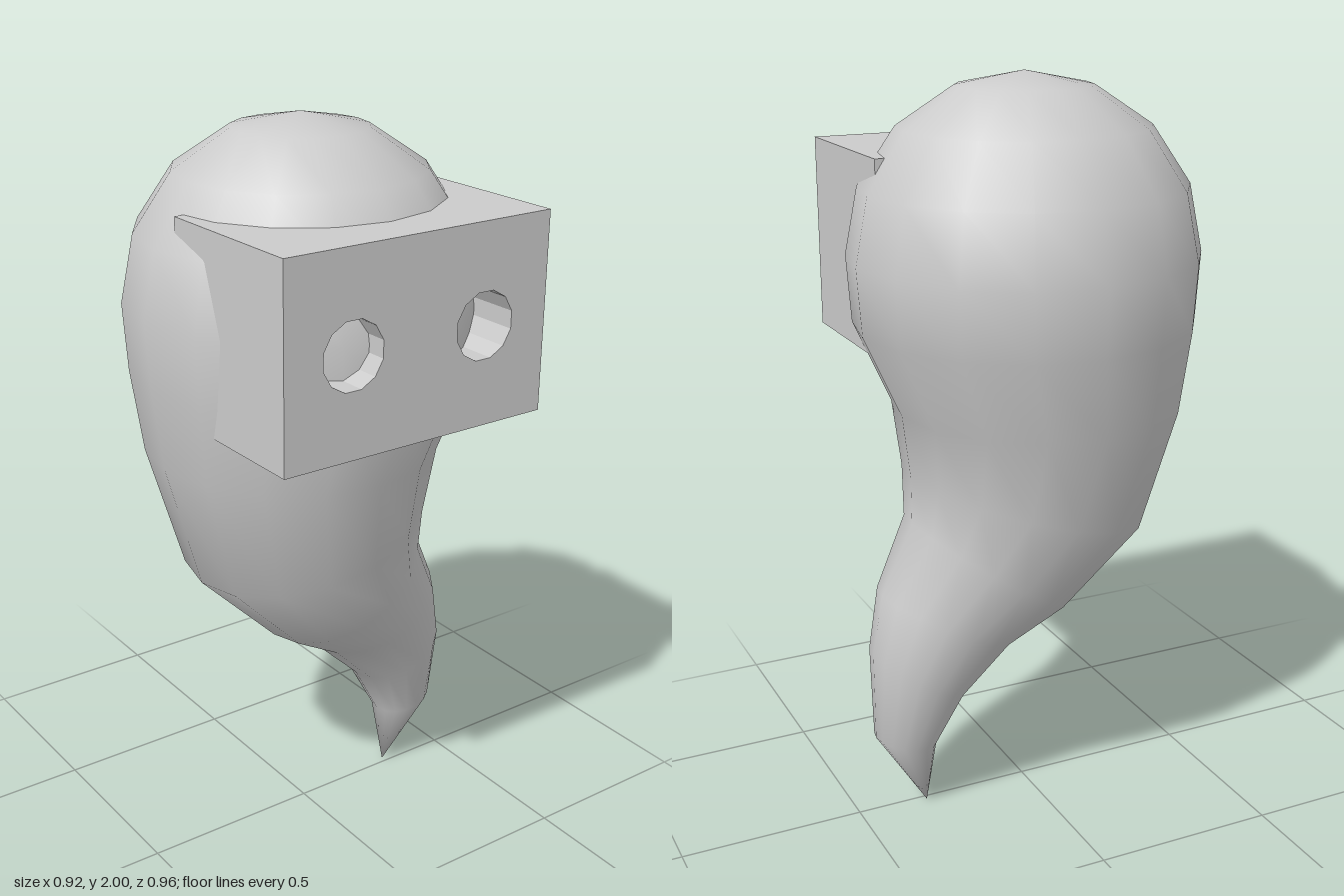
import * as THREE from 'three';

const SIDES = 16;
const material = () => new THREE.MeshStandardMaterial({ color: 0xcccccc });

// Each ring: left end (x, y), right end (x, y), half depth. The ring tilts between its two ends.
const RINGS = [];
for (let i = 1; i <= 4; i++) {
  const a = (i * Math.PI) / 8;
  const r = 0.462 * Math.sin(a), y = 1.538 + 0.462 * Math.cos(a);
  RINGS.push([-r, y, r, y, r]);
}
RINGS.push(
  [-0.45, 1.36, 0.45, 1.36, 0.453],
  [-0.42, 1.14, 0.35, 1.14, 0.4],
  [-0.32, 0.79, 0.33, 0.97, 0.335],
  [-0.09, 0.56, 0.33, 0.84, 0.258],
  [0.06, 0.475, 0.42, 0.65, 0.195],
  [0.2, 0.34, 0.45, 0.48, 0.152],
  [0.28, 0.19, 0.45, 0.23, 0.085],
);

// Smooth skin over the rings, closed by a crown point and a tail tip
function bodyGeometry() {
  const zc = -0.016;
  const pos = [0, 2, zc], index = [];
  for (const [lx, ly, rx, ry, depth] of RINGS) {
    for (let j = 0; j < SIDES; j++) {
      const t = (j / SIDES) * Math.PI * 2, c = Math.cos(t);
      pos.push((lx + rx) / 2 + ((rx - lx) / 2) * c, (ly + ry) / 2 + ((ry - ly) / 2) * c, zc + depth * Math.sin(t));
    }
  }
  pos.push(0.305, 0, zc);
  const tip = pos.length / 3 - 1;
  const id = (i, j) => 1 + i * SIDES + (j % SIDES);
  const last = RINGS.length - 1;
  for (let j = 0; j < SIDES; j++) {
    index.push(0, id(0, j + 1), id(0, j));
    for (let i = 0; i < last; i++) {
      const a = id(i, j), b = id(i, j + 1), c = id(i + 1, j), d = id(i + 1, j + 1);
      index.push(a, b, c, b, d, c);
    }
    index.push(id(last, j), id(last, j + 1), tip);
  }
  const g = new THREE.BufferGeometry();
  g.setAttribute('position', new THREE.Float32BufferAttribute(pos, 3));
  g.setIndex(index);
  g.computeVertexNormals();
  return g;
}

// Box mask with two round eye holes
function maskGeometry() {
  const w = 0.39, h = 0.258;
  const shape = new THREE.Shape([[-w, -h], [w, -h], [w, h], [-w, h]].map(([x, y]) => new THREE.Vector2(x, y)));
  for (const side of [-1, 1]) {
    const pts = [];
    for (let k = 0; k < 12; k++) {
      const a = -((k + 0.5) / 12) * Math.PI * 2;
      pts.push(new THREE.Vector2(side * 0.196 + 0.088 * Math.cos(a), 0.088 * Math.sin(a)));
    }
    shape.holes.push(new THREE.Path(pts));
  }
  return new THREE.ExtrudeGeometry(shape, { depth: 0.456, bevelEnabled: false });
}

export function createModel() {
  const model = new THREE.Group();

  const body = new THREE.Mesh(bodyGeometry(), material());
  body.name = 'body';

  const mask = new THREE.Mesh(maskGeometry(), material());
  mask.name = 'mask';
  mask.position.set(0, 1.54, 0.022);

  model.add(body, mask);
  return model;
}
